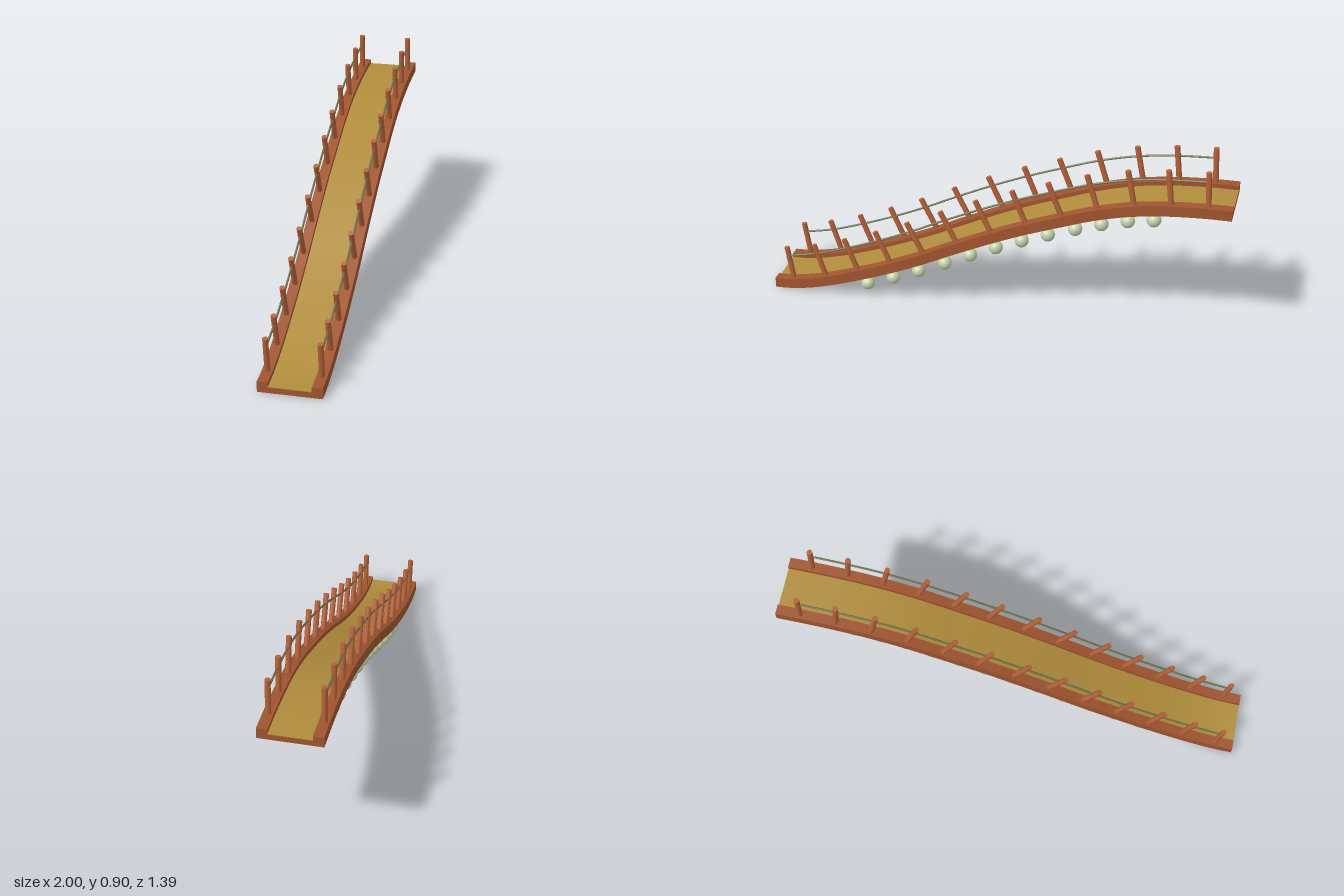
import * as THREE from 'three';
import { toCreasedNormals } from 'three/addons/utils/BufferGeometryUtils.js';

const HALF_LENGTH = 1.088, HALF_WIDTH = 0.1415, CURB = 0.047, POSTS = 13, FLOATS = 12;

// Top edge of the side beams, as (distance along the bridge, height)
const edge = new THREE.CatmullRomCurve3([
  [-1.088, 0.05], [-1.0, 0.056], [-0.86, 0.088], [-0.69, 0.146], [-0.52, 0.214],
  [-0.355, 0.289], [-0.2, 0.368], [-0.04, 0.446], [0.12, 0.518], [0.29, 0.585],
  [0.455, 0.647], [0.63, 0.695], [0.805, 0.722], [0.98, 0.735], [1.088, 0.737],
].map(([s, y]) => new THREE.Vector3(s, y, 0)));

// Point on the edge at distance s, with the normal angle (rotation about z)
function at(s) {
  let lo = 0, hi = 1;
  for (let i = 0; i < 30; i++) {
    const mid = (lo + hi) / 2;
    if (edge.getPoint(mid).x < s) lo = mid; else hi = mid;
  }
  const p = edge.getPoint(lo), t = edge.getTangent(lo);
  return { p, angle: Math.atan2(t.y, t.x), normal: new THREE.Vector3(-t.y, t.x, 0) };
}

// Point raised by h along the edge normal
function raised(s, h, z = 0) {
  const { p, normal } = at(s);
  p.addScaledVector(normal, h);
  p.z = z;
  return p;
}

// Curved plank between two heights, h0 and h1, along the whole bridge
function plank(name, h0, h1, z, width, material) {
  const n = 48, top = [], bottom = [];
  for (let i = 0; i <= n; i++) {
    const s = HALF_LENGTH * (2 * i / n - 1);
    const a = raised(s, h0), b = raised(s, h1);
    if (i === 0 || i === n) a.x = b.x = s; // upright ends
    a.y = Math.max(a.y, 0);
    bottom.push(new THREE.Vector2(a.x, a.y));
    top.push(new THREE.Vector2(b.x, b.y));
  }
  const shape = new THREE.Shape([...bottom, ...top.reverse()]);
  const geo = new THREE.ExtrudeGeometry(shape, { depth: width, bevelEnabled: false });
  geo.translate(0, 0, z - width / 2);
  const mesh = new THREE.Mesh(toCreasedNormals(geo, 0.5), material);
  mesh.name = name;
  return mesh;
}

export function createModel() {
  const wood = new THREE.MeshStandardMaterial({ color: 0xa0552f });
  const postWood = new THREE.MeshStandardMaterial({ color: 0xb5623a });
  const gold = new THREE.MeshStandardMaterial({ color: 0xb08c3c });
  const ropeMat = new THREE.MeshStandardMaterial({ color: 0x6f7050 });
  const pale = new THREE.MeshStandardMaterial({ color: 0xc3d3ac });

  const model = new THREE.Group();
  model.name = 'archedBridge';
  const bridge = new THREE.Group();
  bridge.name = 'bridge';
  bridge.rotation.y = 0.555; // runs diagonally across the ground
  model.add(bridge);

  // Walkway
  const inner = 2 * (HALF_WIDTH - CURB);
  bridge.add(plank('deckBase', -0.05, -0.024, 0, inner, wood));
  bridge.add(plank('deckSurface', -0.024, -0.02, 0, inner, gold));

  const postGeo = new THREE.CylinderGeometry(0.013, 0.013, 0.2, 10);
  const ballGeo = new THREE.SphereGeometry(0.033, 20, 14);
  const stemGeo = new THREE.CylinderGeometry(0.006, 0.006, 0.05, 8);

  for (const side of [1, -1]) {
    const label = side > 0 ? 'front' : 'back';
    const railZ = side * (HALF_WIDTH - CURB / 2);
    bridge.add(plank(label + 'Beam', -0.05, 0, railZ, CURB, wood));

    // Posts stand square to the curve, with a rope threaded through them
    const posts = new THREE.Group();
    posts.name = label + 'Posts';
    const ropePoints = [];
    for (let i = 0; i < POSTS; i++) {
      const s = -1.0 + (1.98 * i) / (POSTS - 1);
      const post = new THREE.Mesh(postGeo, postWood);
      post.name = 'post';
      post.position.copy(raised(s, 0.068, railZ));
      post.rotation.z = at(s).angle;
      posts.add(post);
      ropePoints.push(raised(s, 0.12, railZ));
    }
    bridge.add(posts);
    const rope = new THREE.Mesh(
      new THREE.TubeGeometry(new THREE.CatmullRomCurve3(ropePoints), 72, 0.005, 8), ropeMat);
    rope.name = label + 'Rope';
    bridge.add(rope);

    // Round lanterns hung on short stems under the deck
    const lanterns = new THREE.Group();
    lanterns.name = label + 'Lanterns';
    for (let i = 0; i < FLOATS; i++) {
      const s = -0.66 + (1.387 * i) / (FLOATS - 1);
      const ball = new THREE.Mesh(ballGeo, pale);
      ball.name = 'lantern';
      ball.position.copy(raised(s, -0.094, side * 0.095));
      const stem = new THREE.Mesh(stemGeo, wood);
      stem.name = 'stem';
      stem.position.copy(raised(s, -0.065, side * 0.095));
      stem.rotation.z = at(s).angle;
      lanterns.add(ball, stem);
    }
    bridge.add(lanterns);
  }
  return model;
}
